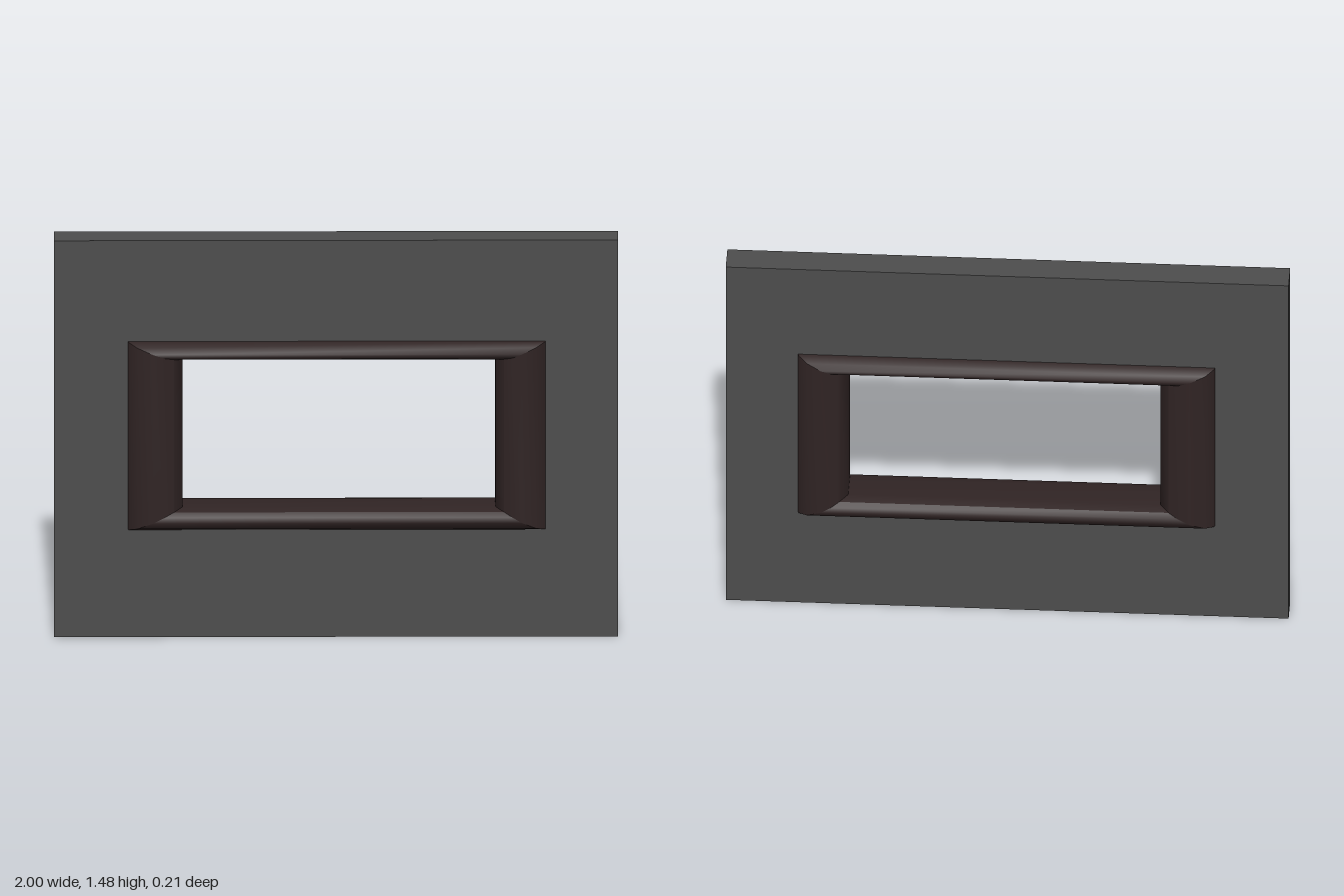
import * as THREE from 'three';

const wallMaterial = new THREE.MeshStandardMaterial({ color: 0x4d4d4d });
wallMaterial.name = 'wall grey';
const frameMaterial = new THREE.MeshStandardMaterial({ color: 0x302424 });
frameMaterial.name = 'dark brown wood';

// Rectangular rings of the moulding, from the wall outwards and into the opening
const ring = (left, right, bottom, top, z) => ({ left, right, bottom, top, z });
const face = [
  ring(-0.74, 0.745, 0.4, 1.105, 0.045),
  ring(-0.735, 0.74, 0.403, 1.102, 0.06),
  ring(-0.705, 0.71, 0.415, 1.09, 0.088),
  ring(-0.65, 0.66, 0.44, 1.07, 0.104),
  ring(-0.61, 0.625, 0.46, 1.055, 0.1),
  ring(-0.575, 0.595, 0.475, 1.045, 0.082),
];
const inner = ring(-0.545, 0.565, 0.485, 1.035, 0.05);
const flip = (r) => ({ ...r, z: -r.z });
const reveal = [face[face.length - 1], inner, flip(inner), flip(face[face.length - 1])];

function corner(r, i) {
  return [
    [r.left, r.bottom, r.z],
    [r.right, r.bottom, r.z],
    [r.right, r.top, r.z],
    [r.left, r.top, r.z],
  ][i % 4];
}

// One mitred bar: smooth along its section, sharp at the corners
function barGeometry(rings, side) {
  const positions = [];
  const index = [];
  rings.forEach((r, k) => {
    positions.push(...corner(r, side), ...corner(r, side + 1));
    if (k === 0) return;
    const a = 2 * k - 2;
    index.push(a, a + 1, a + 3, a, a + 3, a + 2);
  });
  const geometry = new THREE.BufferGeometry();
  geometry.setAttribute('position', new THREE.Float32BufferAttribute(positions, 3));
  geometry.setIndex(index);
  geometry.computeVertexNormals();
  return geometry;
}

function rectangle(PathType, l, r, b, t) {
  return new PathType([
    new THREE.Vector2(l, b), new THREE.Vector2(r, b),
    new THREE.Vector2(r, t), new THREE.Vector2(l, t),
  ]);
}

export function createModel() {
  const model = new THREE.Group();
  model.name = 'wallWithWindow';

  // Wall panel with an opening hidden behind the frame
  const shape = rectangle(THREE.Shape, -1, 1, 0, 1.48);
  shape.holes.push(rectangle(THREE.Path, -0.68, 0.69, 0.43, 1.075));
  const wallGeometry = new THREE.ExtrudeGeometry(shape, { depth: 0.104, bevelEnabled: false });
  wallGeometry.translate(0, 0, -0.052);
  const wall = new THREE.Mesh(wallGeometry, wallMaterial);
  wall.name = 'wall';
  model.add(wall);

  // Window frame: front and back mouldings joined by the lining of the opening
  const frame = new THREE.Group();
  frame.name = 'windowFrame';
  const sections = {
    FrontMoulding: face,
    Lining: reveal,
    BackMoulding: face.map(flip).reverse(),
  };
  ['bottom', 'left', 'top', 'right'].forEach((name, i) => {
    const side = [0, 3, 2, 1][i];
    for (const [part, rings] of Object.entries(sections)) {
      const bar = new THREE.Mesh(barGeometry(rings, side), frameMaterial);
      bar.name = name + part;
      frame.add(bar);
    }
  });
  model.add(frame);
  return model;
}
